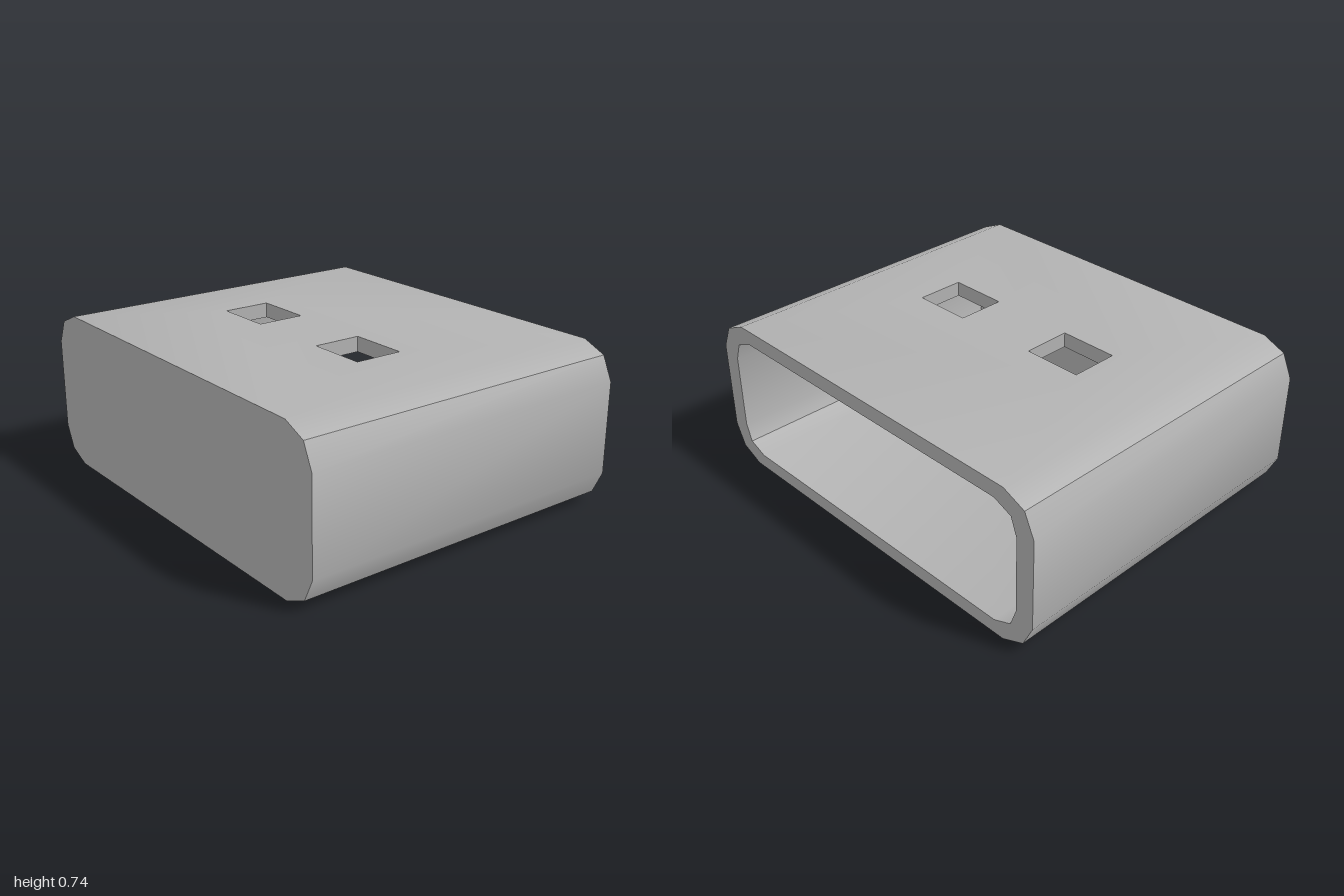
import * as THREE from 'three';
import { mergeGeometries, toCreasedNormals } from 'three/addons/utils/BufferGeometryUtils.js';

const X0 = -0.81, X1 = 0.81, INNER_X0 = -0.73;
const HOLE = { x0: -0.19, x1: 0.04, z0: 0.21, z1: 0.49 };
const CREASE = 0.6;

// Closed cross-section from its right half, mirrored; the flat top edge is TOP -> TOP + 1
const TOP = 5;
const section = (half) => [...half, ...half.map(([u, y]) => [-u, y]).reverse()];
const outer = section([[0.84, 0], [0.95, 0.05], [1, 0.155], [1, 0.585], [0.95, 0.695], [0.84, 0.743]]);
const inner = section([[0.79, 0.068], [0.88, 0.106], [0.91, 0.19], [0.91, 0.55], [0.88, 0.634], [0.79, 0.672]]);
const yOuter = outer[TOP][1], yInner = inner[TOP][1];

const toShape = (pts) => new THREE.Shape(pts.map(([a, b]) => new THREE.Vector2(a, b)));

function flat(shape) {
  const g = new THREE.ShapeGeometry(shape).toNonIndexed();
  g.deleteAttribute('uv');
  g.deleteAttribute('normal');
  return g;
}

function quads(list) {
  const pos = list.flatMap(([a, b, c, d]) => [a, b, c, a, c, d]).flat();
  const g = new THREE.BufferGeometry();
  g.setAttribute('position', new THREE.Float32BufferAttribute(pos, 3));
  return g;
}

// Walls swept along x, without the top panel
function sweptWalls(pts, xa, xb) {
  const list = [];
  pts.forEach(([u, y], i) => {
    if (i === TOP) return;
    const [v, w] = pts[(i + 1) % pts.length];
    list.push([[xb, y, -u], [xa, y, -u], [xa, w, -v], [xb, w, -v]]);
  });
  return quads(list);
}

// Top panel with the two rectangular windows
function panel(xa, halfZ) {
  const s = toShape([[xa, -halfZ], [X1, -halfZ], [X1, halfZ], [xa, halfZ]]);
  for (const side of [1, -1]) {
    s.holes.push(toShape([
      [HOLE.x0, side * HOLE.z0], [HOLE.x1, side * HOLE.z0],
      [HOLE.x1, side * HOLE.z1], [HOLE.x0, side * HOLE.z1]]));
  }
  return flat(s);
}

export function createModel() {
  const model = new THREE.Group();
  const grey = new THREE.MeshStandardMaterial({ color: 0xb2b2b2 });
  grey.name = 'plain grey';
  const add = (name, parts) => {
    const mesh = new THREE.Mesh(toCreasedNormals(mergeGeometries(parts), CREASE), grey);
    mesh.name = name;
    model.add(mesh);
  };

  // Outside of the sleeve
  add('outerShell', [
    sweptWalls(outer, X0, X1),
    panel(X0, outer[TOP][0]).rotateX(-Math.PI / 2).translate(0, yOuter, 0),
  ]);

  // Cavity, open at +x
  add('innerShell', [
    sweptWalls(inner, X1, INNER_X0),
    panel(INNER_X0, inner[TOP][0]).rotateX(Math.PI / 2).translate(0, yInner, 0),
  ]);

  // Rim around the opening
  const rim = toShape(outer);
  rim.holes.push(toShape(inner));
  add('openRim', [flat(rim).rotateY(Math.PI / 2).translate(X1, 0, 0)]);

  // Closed end, outside and inside
  add('endWall', [
    flat(toShape(outer)).rotateY(-Math.PI / 2).translate(X0, 0, 0),
    flat(toShape(inner)).rotateY(Math.PI / 2).translate(INNER_X0, 0, 0),
  ]);

  // Sides of the two windows through the top
  for (const side of [1, -1]) {
    const za = side > 0 ? HOLE.z1 : -HOLE.z0;
    const zb = side > 0 ? HOLE.z0 : -HOLE.z1;
    const c = [[HOLE.x0, za], [HOLE.x1, za], [HOLE.x1, zb], [HOLE.x0, zb]];
    add(side > 0 ? 'frontWindowSides' : 'backWindowSides', [quads(c.map(([x, z], i) => {
      const [x2, z2] = c[(i + 1) % 4];
      return [[x, yOuter, z], [x2, yOuter, z2], [x2, yInner, z2], [x, yInner, z]];
    }))]);
  }
  return model;
}
